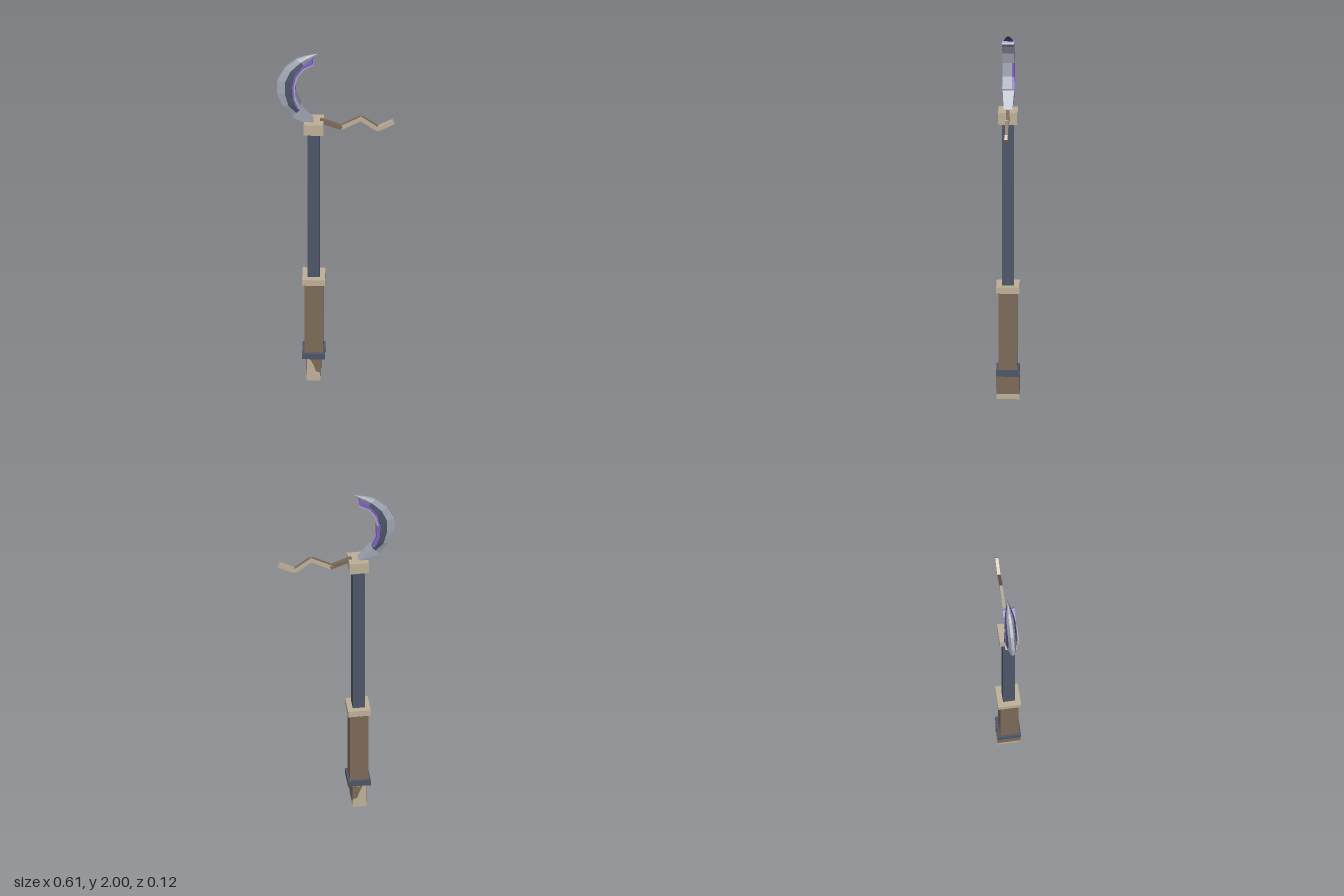
import * as THREE from 'three';

const mat = (name, color) => {
  const m = new THREE.MeshStandardMaterial({ color });
  m.name = name;
  m.flatShading = true;
  return m;
};

// Solid from equal-sized closed rings of [x, y, z]; turned outward by its signed volume
function loft(rings) {
  const tris = [];
  const n = rings[0].length;
  for (let i = 0; i < rings.length - 1; i++) {
    for (let j = 0; j < n; j++) {
      const k = (j + 1) % n;
      const [a, b, c, d] = [rings[i][j], rings[i][k], rings[i + 1][k], rings[i + 1][j]];
      tris.push([a, b, c], [a, c, d]);
    }
  }
  const last = rings[rings.length - 1];
  for (let j = 1; j < n - 1; j++) {
    tris.push([rings[0][0], rings[0][j + 1], rings[0][j]], [last[0], last[j], last[j + 1]]);
  }
  let volume = 0;
  for (const t of tris) {
    const [a, b, c] = t.map((p) => new THREE.Vector3(...p));
    volume += a.dot(b.cross(c));
  }
  if (volume < 0) tris.forEach((t) => t.reverse());
  const g = new THREE.BufferGeometry();
  g.setAttribute('position', new THREE.Float32BufferAttribute(tris.flat(2), 3));
  g.computeVertexNormals();
  return g;
}

export function createModel() {
  const slate = mat('slate', 0x4d5668);
  const tan = mat('tan', 0xbfb199);
  const brown = mat('brown', 0x7c6a58);
  const steel = mat('pale steel', 0xa3a9b7);
  const purple = mat('purple', 0x7f5fc4);

  const model = new THREE.Group();
  model.name = 'sickleStaff';
  const add = (name, geometry, material) => {
    const m = new THREE.Mesh(geometry, material);
    m.name = name;
    model.add(m);
    return m;
  };
  const AX = -0.115; // staff axis
  const block = (name, w, d, y0, y1, material) =>
    add(name, new THREE.BoxGeometry(w, y1 - y0, d), material).position.set(AX, (y0 + y1) / 2, 0);

  // Staff, bottom to top
  block('pommel', 0.072, 0.12, 0, 0.134, tan);
  block('lowerBand', 0.118, 0.12, 0.132, 0.166, slate);
  block('grip', 0.096, 0.094, 0.164, 0.592, brown);
  block('upperCollar', 0.118, 0.12, 0.59, 0.625, tan);
  block('shaft', 0.063, 0.062, 0.62, 1.525, slate);
  block('headBlock', 0.102, 0.102, 1.52, 1.585, tan);

  // Worn brown patches on the pommel: whole sides, corner of front and back
  for (const s of [-1, 1]) {
    add('pommelSidePatch', new THREE.BoxGeometry(0.004, 0.102, 0.12), brown)
      .position.set(AX + s * 0.036, 0.081, 0);
    const corner = new THREE.Shape([[0.036, 0.132], [-0.015, 0.132], [0.005, 0.085], [0.012, 0.06], [0.036, 0.05]]
      .map(([x, y]) => new THREE.Vector2(x, y)));
    add('pommelCornerPatch', new THREE.ExtrudeGeometry(corner, { depth: 0.003, bevelEnabled: false }), brown)
      .position.set(AX, 0, s * 0.06 - 0.0015);
  }

  // Blade stations: outer x, y, inner x, y, width factor
  const stations = [
    [-0.225, 1.616, -0.188, 1.66, 1],
    [-0.278, 1.675, -0.22, 1.69, 1],
    [-0.306, 1.755, -0.23, 1.755, 1],
    [-0.306, 1.83, -0.228, 1.83, 1],
    [-0.267, 1.907, -0.212, 1.884, 1],
    [-0.204, 1.964, -0.167, 1.942, 0.95],
    [-0.16, 1.982, -0.135, 1.966, 0.6],
    [-0.093, 2.0, -0.0935, 1.9995, 0.02],
  ];
  // Slice of the blade between two depths across its section
  const bladeLayer = (t0, w0, t1, w1) => loft(stations.map(([ox, oy, ix, iy, s]) => {
    const at = (t, z) => [ox + (ix - ox) * t, oy + (iy - oy) * t, z * s];
    return [at(t0, -w0), at(t0, w0), at(t1, w1), at(t1, -w1)];
  }));
  add('bladeEdge', bladeLayer(0, 0.008, 0.55, 0.02), steel);
  add('bladeBody', bladeLayer(0.55, 0.02, 1, 0.028), slate);

  // Neck joining blade and head block
  const neckRing = (x0, y0, x1, y1, w) => [[x0, y0, -w], [x0, y0, w], [x1, y1, w], [x1, y1, -w]];
  add('bladeNeck', loft([
    neckRing(-0.165, 1.58, -0.112, 1.58, 0.022),
    neckRing(-0.224, 1.618, -0.186, 1.664, 0.03),
  ]), steel);

  // Curved inner guard: steel lining on a purple back
  const guard = [[-0.114, 1.944], [-0.167, 1.913], [-0.198, 1.865], [-0.211, 1.807], [-0.207, 1.733], [-0.183, 1.675]];
  const ribbon = (from, to, d0, d1, z0, z1) => loft(guard.slice(from, to + 1).map(([x, y], k) => {
    const i = from + k;
    const a = guard[Math.max(i - 1, 0)], b = guard[Math.min(i + 1, guard.length - 1)];
    const len = Math.hypot(b[0] - a[0], b[1] - a[1]);
    const nx = (b[1] - a[1]) / len, ny = -(b[0] - a[0]) / len; // away from the hook's centre
    return [[x + nx * d0, y + ny * d0, z0], [x + nx * d0, y + ny * d0, z1],
      [x + nx * d1, y + ny * d1, z1], [x + nx * d1, y + ny * d1, z0]];
  }));
  add('guardBack', ribbon(0, 5, 0.009, 0.018, -0.032, 0.032), purple);
  add('guardLining', ribbon(0, 3, 0, 0.009, -0.032, 0.032), steel);
  add('guardLiningLower', ribbon(3, 5, 0, 0.009, -0.018, 0.032), steel);
  add('guardTrim', ribbon(3, 5, 0, 0.009, -0.032, -0.018), purple);

  // Zigzag branch with a darker upper side
  const zig = [[-0.078, 1.582], [0.026, 1.543], [0.13, 1.601], [0.216, 1.538], [0.3, 1.584]];
  const skins = [brown, [tan, tan, brown, tan, tan, tan], [tan, tan, brown, tan, tan, tan], tan];
  for (let i = 0; i < 4; i++) {
    const [x0, y0] = zig[i], [x1, y1] = zig[i + 1];
    const length = Math.hypot(x1 - x0, y1 - y0) + (i < 3 ? 0.01 : 0);
    const twig = add('branchSegment' + (i + 1), new THREE.BoxGeometry(length, 0.025, 0.017), skins[i]);
    twig.position.set((x0 + x1) / 2, (y0 + y1) / 2, 0);
    twig.rotation.z = Math.atan2(y1 - y0, x1 - x0);
  }
  return model;
}
